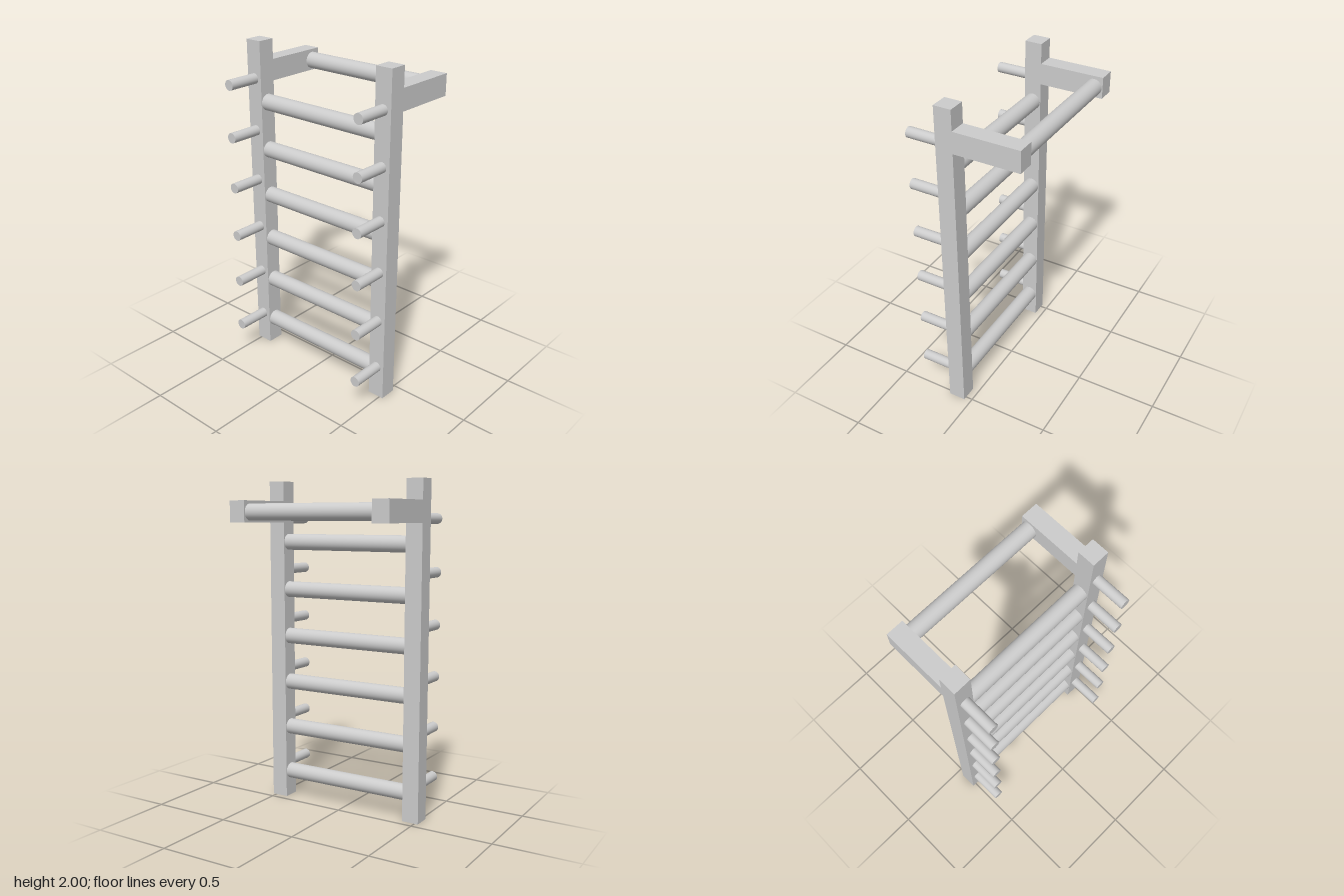
import * as THREE from 'three';

export function createModel() {
  const model = new THREE.Group();
  const material = new THREE.MeshStandardMaterial({ color: 0xcccccc });

  function add(name, geometry, x, y, z) {
    const mesh = new THREE.Mesh(geometry, material);
    mesh.name = name;
    mesh.position.set(x, y, z);
    model.add(mesh);
  }

  const postX = 0.471, postZ = 0.095, postSize = 0.104;
  const postGeometry = new THREE.BoxGeometry(postSize, 2, postSize);
  const armGeometry = new THREE.BoxGeometry(postSize, 0.127, 0.39);
  const pegGeometry = new THREE.CylinderGeometry(0.031, 0.031, 0.2, 32).rotateX(Math.PI / 2);
  const rungGeometry = new THREE.CylinderGeometry(0.049, 0.049, 0.84, 40).rotateZ(Math.PI / 2);

  // Uprights, rear arms and front pegs on both sides
  for (const [side, s] of [['left', 1], ['right', -1]]) {
    add(`${side}Post`, postGeometry, s * postX, 1, postZ);
    add(`${side}Arm`, armGeometry, s * postX, 1.817, -0.152);
    for (let i = 0; i < 6; i++) {
      add(`${side}Peg${i + 1}`, pegGeometry, s * postX, 0.204 + i * 0.3145, 0.247);
    }
  }

  // Ladder rungs between the uprights
  for (let i = 0; i < 6; i++) {
    add(`rung${i + 1}`, rungGeometry, 0, 0.164 + i * 0.294, postZ);
  }

  // Pull-up bar between the arm ends
  add('pullUpBar', rungGeometry, 0, 1.814, -0.292);

  return model;
}
